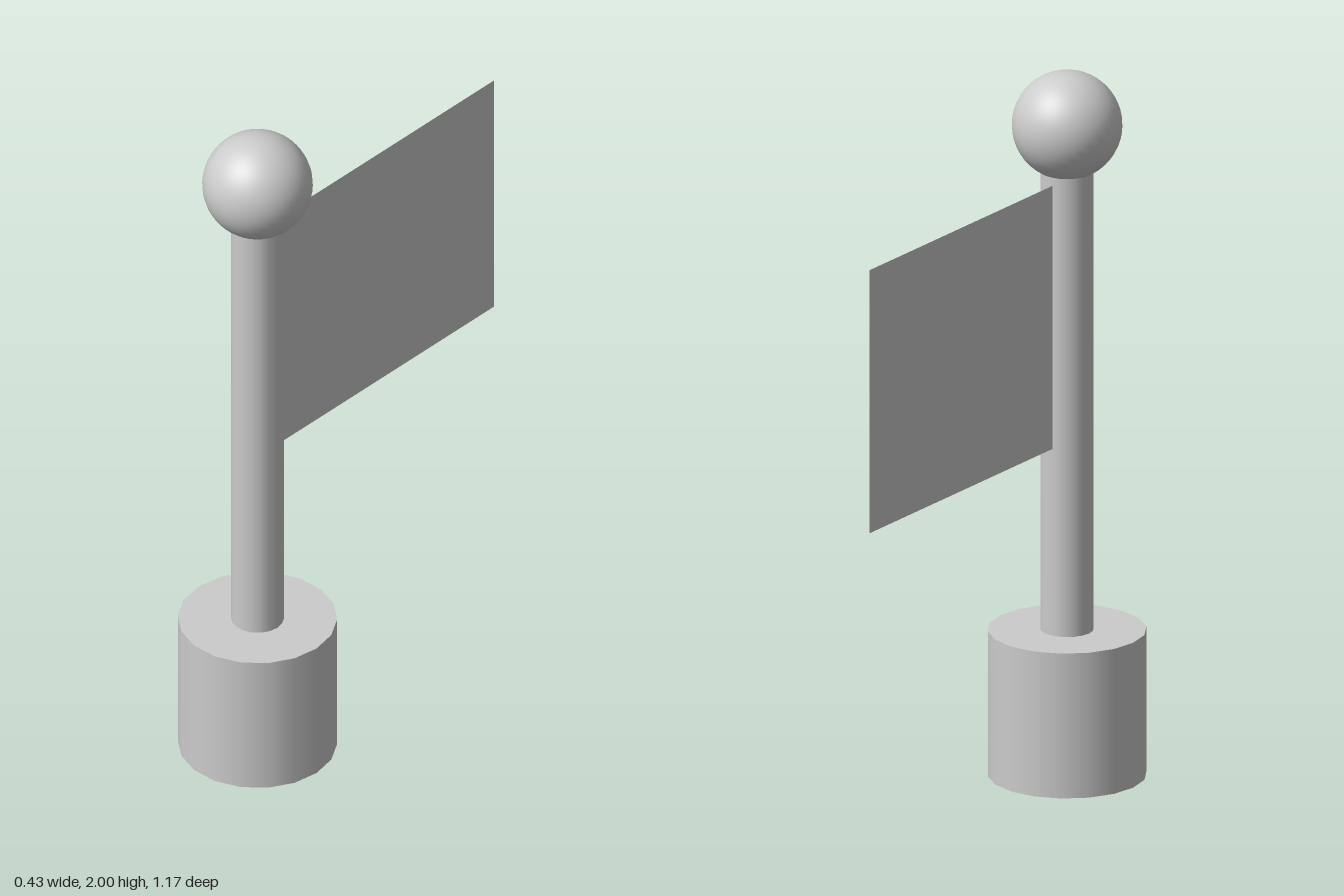
import * as THREE from 'three';

export function createModel() {
  const model = new THREE.Group();
  model.name = 'flagpole';
  const grey = new THREE.MeshStandardMaterial({ color: 0xcccccc });
  const cloth = new THREE.MeshStandardMaterial({ color: 0xcccccc, side: THREE.DoubleSide });
  const poleZ = 0.37;

  const add = (name, geometry, y, z = poleZ, material = grey) => {
    const mesh = new THREE.Mesh(geometry, material);
    mesh.name = name;
    mesh.position.set(0, y, z);
    model.add(mesh);
    return mesh;
  };
  // Upright 18-sided cylinder with a corner on the x axis
  const post = (name, radius, bottom, top) => add(
    name,
    new THREE.CylinderGeometry(radius, radius, top - bottom, 18, 1, false, Math.PI / 2),
    (bottom + top) / 2
  );

  post('base', 0.216, 0, 0.413);
  post('pole', 0.072, 0.413, 1.72);
  add('ballFinial', new THREE.SphereGeometry(0.15, 36, 24), 1.85);

  // Thin flag, reaching back from the pole
  const flagFront = 0.3, flagBack = -0.584;
  const flag = add('flag', new THREE.PlaneGeometry(flagFront - flagBack, 0.75),
    1.32, (flagFront + flagBack) / 2, cloth);
  flag.rotation.y = Math.PI / 2;

  return model;
}
